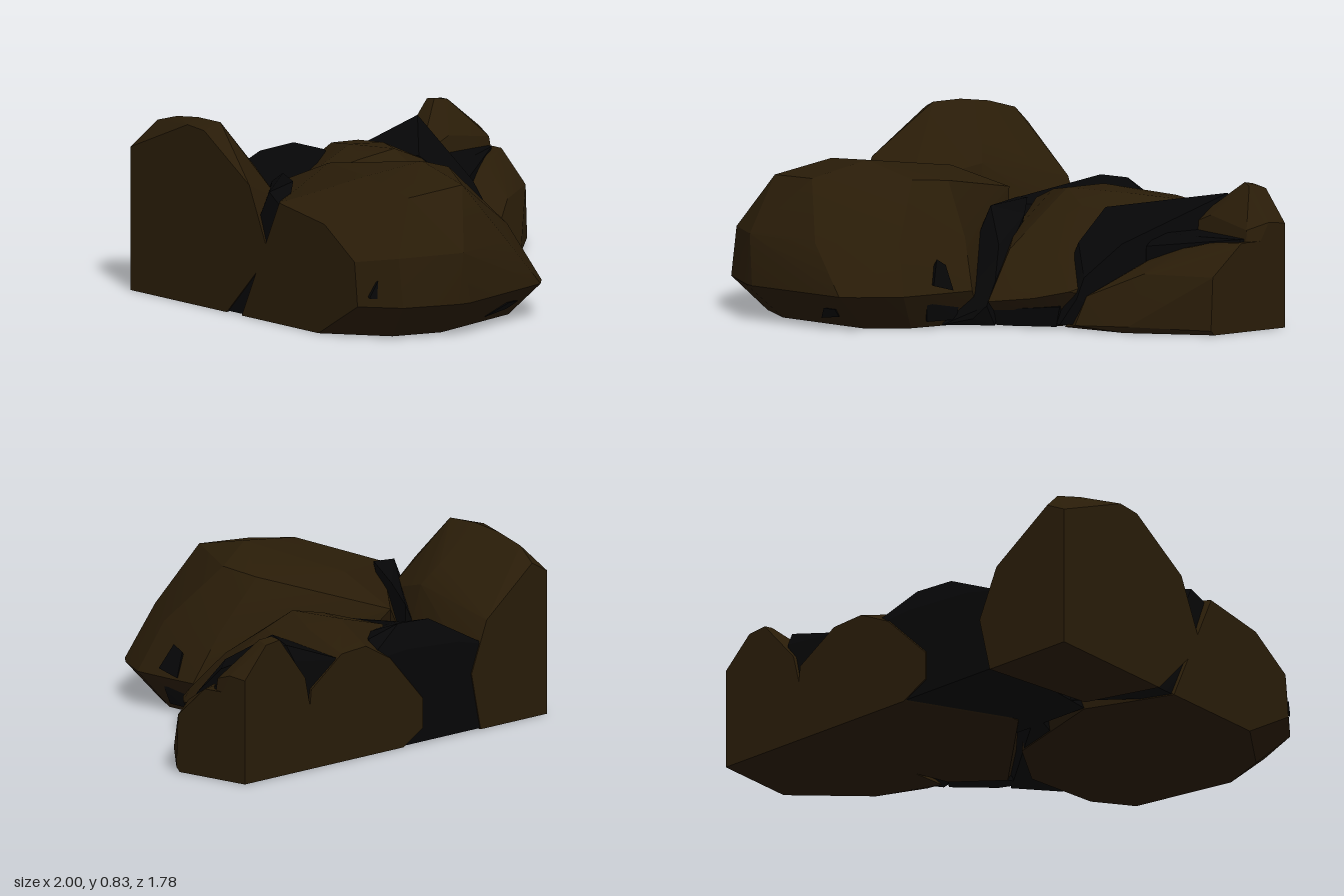
import * as THREE from 'three';
import { ConvexGeometry } from 'three/addons/geometries/ConvexGeometry.js';
import { toCreasedNormals } from 'three/addons/utils/BufferGeometryUtils.js';

export function createModel() {
  const group = new THREE.Group();
  const brown = new THREE.MeshStandardMaterial({ color: 0x291c08 });
  brown.name = 'brown stone';
  const dark = new THREE.MeshStandardMaterial({ color: 0x060607 });
  dark.name = 'dark stone';

  // A boulder is the hull of a few corner points, softened across shallow edges
  function rock(name, material, corners) {
    const hull = new ConvexGeometry(corners.map((c) => new THREE.Vector3(...c)));
    const mesh = new THREE.Mesh(toCreasedNormals(hull, 0.3), material);
    mesh.name = name;
    group.add(mesh);
  }

  // Large front boulder, sliced flat on its right side
  rock('frontBoulder', brown, [
    [-1, 0, 0.36], [-0.8, 0, 0.63], [-0.58, 0, 0.71], [-0.1, 0, 0.62], [0.02, 0, 0.45],
    [0.06, 0, 0.1], [-0.1, 0, -0.15], [-0.6, 0, -0.3], [-1, 0, -0.15],
    [-1, 0.16, 0.62], [-0.87, 0.16, 0.78], [-0.63, 0.16, 0.88], [-0.57, 0.16, 0.89],
    [-0.06, 0.16, 0.79], [0, 0.16, 0.73], [0.11, 0.16, 0.56], [0.13, 0.16, 0.35],
    [0.14, 0.16, 0.2],
    [-1, 0.36, 0.6], [-0.87, 0.38, 0.75], [-0.6, 0.39, 0.88], [-0.25, 0.38, 0.78],
    [0, 0.38, 0.5], [0.02, 0.38, 0.15],
    [-1, 0.5, 0.4], [-1, 0.55, 0.1], [-0.72, 0.62, 0.65], [-0.7, 0.67, 0.35],
    [-0.42, 0.64, 0.67], [-0.4, 0.7, 0.38], [-0.17, 0.63, 0.3], [-0.17, 0.61, 0.1],
    [-0.48, 0.62, -0.15], [-0.45, 0.5, -0.45],
  ]);

  // Tall corner boulder, sliced on the back and side
  rock('cornerBoulder', brown, [
    [-1, 0, -0.89], [-1, 0.65, -0.89], [-1, 0.81, -0.51], [-1, 0.8, -0.4], [-1, 0.6, -0.1],
    [-1, 0.3, 0.03], [-1, 0, -0.25], [-0.92, 0.83, -0.38], [-0.92, 0.83, -0.53],
    [-0.91, 0.81, -0.68], [-0.9, 0.77, -0.82], [-0.9, 0.7, -0.89], [-0.77, 0.6, -0.89],
    [-0.6, 0.49, -0.89], [-0.5, 0.26, -0.89], [-0.56, 0, -0.89], [-0.72, 0.67, -0.5],
    [-0.65, 0.58, -0.45], [-0.6, 0.45, -0.65], [-0.57, 0.2, -0.4], [-0.78, 0.5, -0.15],
    [-0.65, 0, -0.35],
  ]);

  // Middle boulder with a broad ridge and an undercut toe
  rock('middleBoulder', brown, [
    [0.36, 0.49, -0.89], [0.2, 0.5, -0.89], [0.04, 0.42, -0.89], [-0.18, 0.2, -0.89],
    [-0.18, 0.07, -0.89], [0.56, 0.36, -0.89], [0.6, 0, -0.89],
    [0.25, 0.54, -0.6], [0.05, 0.56, -0.6], [-0.33, 0.46, -0.51], [-0.06, 0.54, -0.4],
    [0.1, 0.57, -0.36], [0.24, 0.51, -0.33], [0, 0.38, -0.14], [0.15, 0.33, 0],
    [0.35, 0.3, -0.13], [0.48, 0.17, -0.08], [0.38, 0.14, 0.04], [0.25, 0.17, 0.12],
    [0.23, 0.12, 0.18], [0.36, 0, -0.12], [0.15, 0, 0.04], [-0.3, 0, -0.4],
    [-0.05, 0, -0.89],
  ]);

  // Low side boulder
  rock('lowSideBoulder', brown, [
    [0.4, 0, -0.12], [0.5, 0.02, -0.1], [0.73, 0.03, -0.22], [1, 0.02, -0.48],
    [1, 0, -0.5], [0.7, 0, -0.22], [0.45, 0, -0.89], [1, 0, -0.89],
    [0.52, 0.15, -0.15], [0.62, 0.28, -0.37], [0.73, 0.26, -0.31], [0.8, 0.37, -0.52],
    [1, 0.26, -0.49], [1, 0.4, -0.65], [0.85, 0.39, -0.6], [0.6, 0.33, -0.52],
    [1, 0.4, -0.89], [0.6, 0.33, -0.89],
  ]);

  // Peaked boulder behind it
  rock('peakedSideBoulder', brown, [
    [0.83, 0.62, -0.82], [0.77, 0.63, -0.84], [0.77, 0.62, -0.89], [0.86, 0.61, -0.89],
    [1, 0.48, -0.8], [1, 0.47, -0.89], [0.68, 0.53, -0.82], [0.54, 0.42, -0.68],
    [0.6, 0.42, -0.89], [0.72, 0.49, -0.69], [0.97, 0.45, -0.7], [1, 0.3, -0.7],
    [0.5, 0, -0.89], [1, 0, -0.89], [0.5, 0, -0.6], [1, 0, -0.65],
  ]);

  // Dark stones showing in the gaps between the boulders
  rock('darkBackStone', dark, [
    [-0.65, 0.005, -0.885], [0.1, 0.005, -0.885], [-0.6, 0.38, -0.885],
    [-0.42, 0.42, -0.885], [-0.08, 0.44, -0.885], [0.18, 0.42, -0.885],
    [-0.28, 0.54, -0.83], [-0.08, 0.55, -0.83], [0.08, 0.5, -0.8], [-0.55, 0.42, -0.6],
    [-0.5, 0.42, -0.4], [-0.1, 0.45, -0.55], [-0.6, 0.005, -0.3], [0, 0.005, -0.3],
  ]);
  rock('darkCornerStone', dark, [
    [-0.99, 0.5, 0.14], [-0.97, 0.58, 0], [-0.8, 0.6, -0.03], [-0.62, 0.57, -0.3],
    [-0.55, 0.5, -0.45], [-0.6, 0.005, -0.4], [-0.99, 0.005, -0.28], [-0.99, 0.005, -0.1],
  ]);
  rock('darkInnerStone', dark, [
    [-0.45, 0.45, -0.5], [-0.25, 0.48, -0.4], [-0.15, 0.48, -0.12], [-0.03, 0.45, -0.22],
    [0.07, 0.34, 0], [0.19, 0.2, 0.11], [0.22, 0.1, 0.18], [0.17, 0.04, 0.22],
    [0.2, 0.005, 0.12], [-0.2, 0.005, 0.1], [-0.4, 0.005, -0.4], [0.05, 0.005, 0.3],
  ]);
  rock('darkToeStone', dark, [
    [0.1, 0.005, 0.14], [0.24, 0.005, 0.08], [0.4, 0.005, -0.07], [0.44, 0.1, -0.06],
    [0.33, 0.09, 0.04], [0.2, 0.08, 0.13], [0.3, 0.1, -0.2], [0.3, 0.005, -0.2],
  ]);
  rock('darkSideStone', dark, [
    [0.3, 0.46, -0.75], [0.42, 0.48, -0.7], [0.66, 0.57, -0.83], [0.65, 0.5, -0.87],
    [0.34, 0.46, -0.885], [0.57, 0.44, -0.55], [0.3, 0.5, -0.42], [0.38, 0.37, -0.21],
    [0.54, 0.37, -0.33], [0.5, 0.23, -0.15], [0.5, 0.14, -0.11], [0.44, 0.02, -0.06],
    [0.3, 0.02, -0.1], [0.6, 0.02, -0.3], [0.3, 0.02, -0.885], [0.6, 0.02, -0.885],
  ]);
  rock('darkLedgeStone', dark, [
    [0.55, 0.41, -0.53], [0.6, 0.36, -0.42], [0.78, 0.41, -0.58], [0.96, 0.41, -0.67],
    [0.96, 0.41, -0.74], [0.6, 0.42, -0.74], [0.6, 0.1, -0.42], [0.96, 0.1, -0.74],
  ]);

  // Dark chips set into the front boulder
  rock('sideChip', dark, [
    [0.09, 0.31, 0.36], [0.135, 0.2, 0.41], [0.135, 0.17, 0.3], [0.09, 0.28, 0.31],
    [0, 0.2, 0.35],
  ]);
  rock('lowChip', dark, [
    [0.1, 0.13, 0.42], [0.1, 0.12, 0.24], [0.07, 0.03, 0.4], [0.09, 0.03, 0.25],
    [-0.05, 0.1, 0.35],
  ]);
  rock('frontLowChip', dark, [
    [-0.31, 0.03, 0.7], [-0.15, 0.09, 0.745], [-0.18, 0.05, 0.7], [-0.22, 0.09, 0.755],
    [-0.25, 0.08, 0.6],
  ]);
  rock('frontEdgeChip', dark, [
    [-0.97, 0.2, 0.665], [-0.94, 0.28, 0.69], [-0.945, 0.2, 0.69], [-0.96, 0.24, 0.6],
  ]);
  return group;
}
